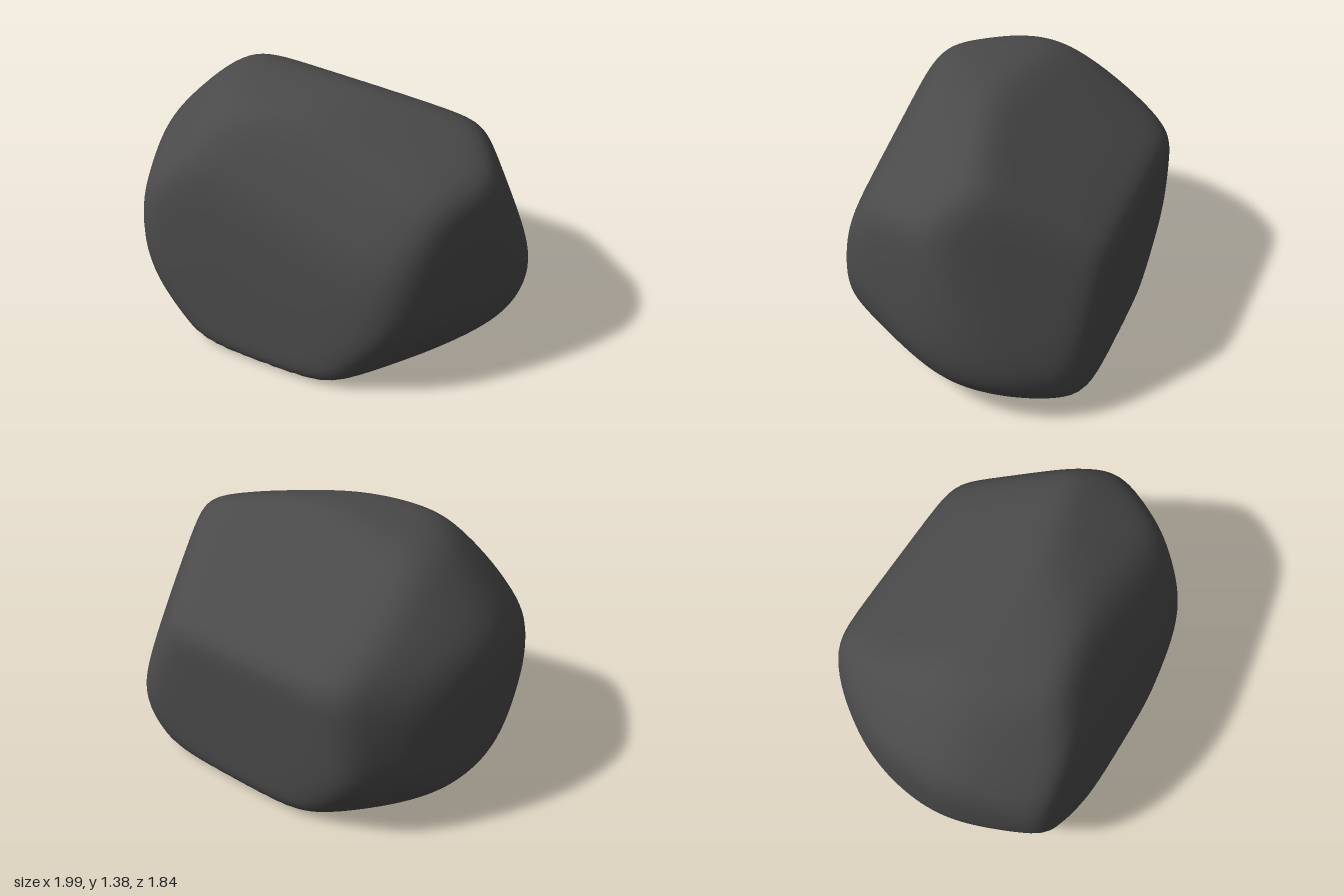
import * as THREE from 'three';
import { mergeVertices } from 'three/addons/utils/BufferGeometryUtils.js';

// Worn facets of the boulder: outward direction x, y, z and distance from its heart
const FACETS = [
  [0, -1, 0, 0.622],            // flat underside
  [-0.706, 0.08, 0.70, 0.685],  // long front flank
  [-0.5, 0.51, 0.69, 0.71],     // leaning upper part of that flank
  [0.727, -0.05, -0.686, 0.707], // long back flank
  [0.44, 0.82, -0.37, 0.63],    // large sloping top
  [-0.1, 0.995, -0.02, 0.77],   // crown
  [0, 0.9, 0.44, 0.785],        // front shoulder
  [-0.74, 0.66, -0.1, 0.895],   // right shoulder
  [-0.45, 0.68, -0.58, 0.93],   // back shoulders
  [-0.15, 0.6, -0.79, 0.9],
  [0.3, 0.05, 0.95, 0.93],      // rounded front end
  [-0.2, 0.05, 0.98, 0.93],
  [0.7, 0, 0.7, 1.03],
  [0.92, 0.36, 0.15, 0.86],     // leaning left side
  [-0.9, 0, -0.43, 0.985],      // rounded back end
  [-0.57, 0, -0.82, 0.95],
  [-0.1, 0.05, -0.99, 0.93],
  [0.15, -0.55, 0.82, 0.915],   // lower bevels
  [0, -0.6, -0.8, 0.93],
  [-0.75, -0.6, -0.2, 0.965],
  [-0.354, -0.866, -0.354, 0.86],
  [0.354, -0.866, 0.354, 0.9],
];
const SHARPNESS = 18;
const ROUND_RADIUS = 1.1;
const HEART_HEIGHT = 0.62;

// Soft intersection of all facets and a sphere, measured along one direction
function radius(d) {
  let sum = ROUND_RADIUS ** -SHARPNESS;
  for (const [x, y, z, dist] of FACETS) {
    const facing = (d.x * x + d.y * y + d.z * z) / dist;
    if (facing > 0) sum += facing ** SHARPNESS;
  }
  return sum ** (-1 / SHARPNESS);
}

export function createModel() {
  const group = new THREE.Group();
  group.name = 'boulder';
  const stone = new THREE.MeshStandardMaterial({ color: 0x4a4a4a });
  stone.name = 'dark grey stone';

  let geo = new THREE.IcosahedronGeometry(1, 30);
  geo.deleteAttribute('normal');
  geo.deleteAttribute('uv');
  geo = mergeVertices(geo, 1e-4);

  // Push every point of the ball out to the facets
  const pos = geo.attributes.position;
  const p = new THREE.Vector3();
  for (let i = 0; i < pos.count; i++) {
    p.fromBufferAttribute(pos, i).normalize();
    p.multiplyScalar(radius(p));
    pos.setXYZ(i, p.x, p.y + HEART_HEIGHT, p.z);
  }
  geo.computeVertexNormals();

  const rock = new THREE.Mesh(geo, stone);
  rock.name = 'rock';
  group.add(rock);
  return group;
}
